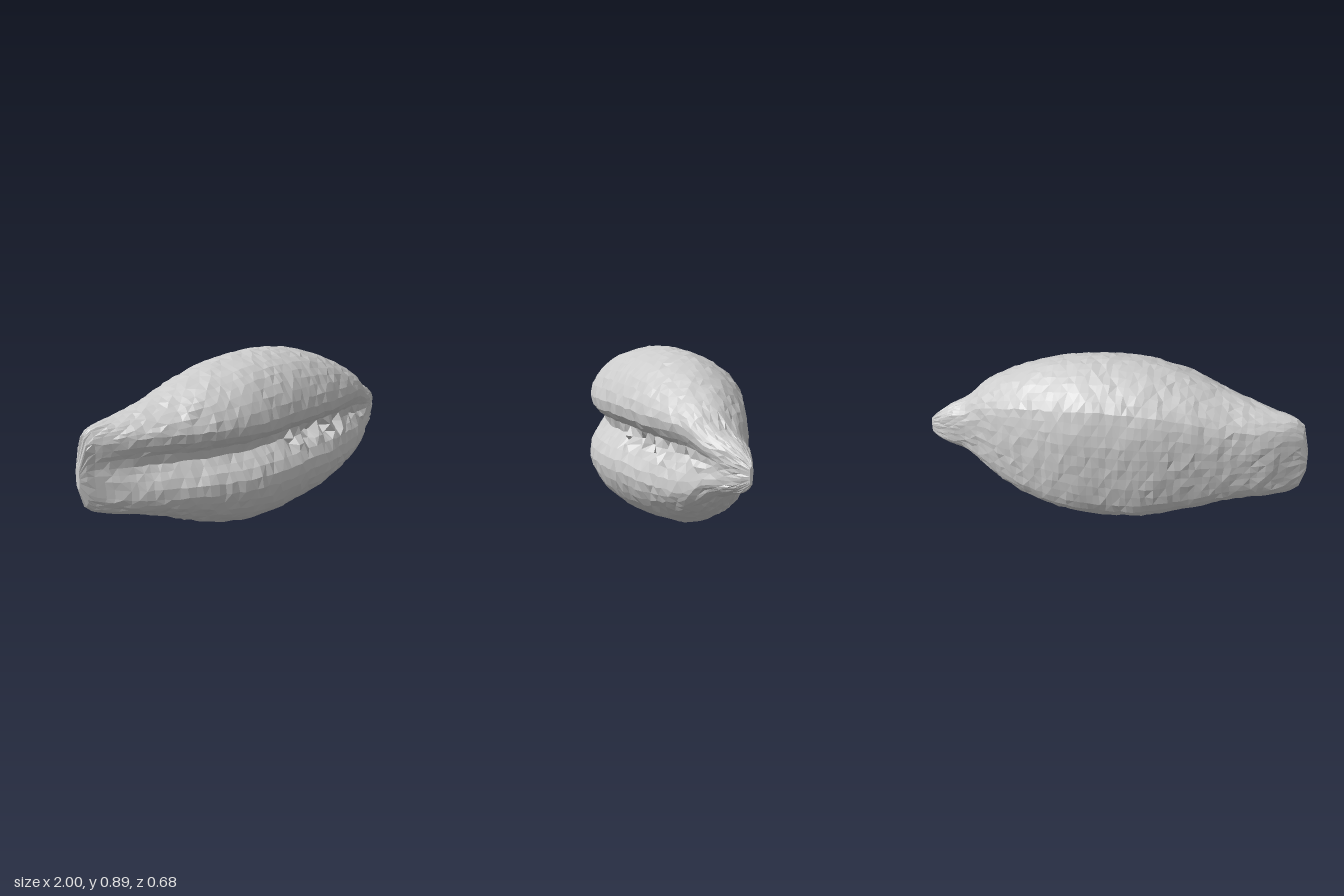
import * as THREE from 'three';

// Stations along the length: x, top y, bottom y, back z, front z, groove strength
const STATIONS = [
  [-1.0, 0.49, 0.37, -0.08, -0.05, 0.1],
  [-0.97, 0.625, 0.28, -0.097, -0.03, 0.4],
  [-0.92, 0.67, 0.235, -0.12, -0.005, 0.7],
  [-0.8, 0.695, 0.2, -0.175, 0.07, 1],
  [-0.6, 0.745, 0.15, -0.23, 0.185, 1],
  [-0.4, 0.82, 0.075, -0.28, 0.28, 1],
  [-0.2, 0.872, 0.02, -0.322, 0.332, 1],
  [0.0, 0.89, 0.003, -0.335, 0.33, 1],
  [0.2, 0.88, 0.02, -0.335, 0.31, 1],
  [0.4, 0.835, 0.055, -0.285, 0.275, 1],
  [0.6, 0.75, 0.135, -0.195, 0.215, 1],
  [0.72, 0.675, 0.21, -0.125, 0.17, 1],
  [0.8, 0.59, 0.285, -0.095, 0.125, 0.6],
  [0.87, 0.56, 0.31, -0.08, 0.085, 0.2],
  [0.94, 0.515, 0.335, -0.055, 0.035, 0],
  [1.0, 0.465, 0.38, -0.025, -0.01, 0],
];

// Cross-section (z, y) in -1..1: over the top, down the grooved front, up the flat back
const SECTION = [
  [0, 1], [0.34, 0.95], [0.62, 0.84], [0.86, 0.64], [0.96, 0.46], [0.99, 0.34], [0.93, 0.26],
  [0.81, 0.18], [0.7, 0.12], [0.66, 0.06], [0.7, 0], [0.8, -0.07], [0.92, -0.17], [0.99, -0.28],
  [1, -0.38], [0.94, -0.54], [0.82, -0.7], [0.6, -0.85], [0.32, -0.95], [0, -1], [-0.32, -0.94],
  [-0.62, -0.83], [-0.86, -0.64], [-0.95, -0.4], [-1, 0.1], [-0.96, 0.42], [-0.86, 0.66],
  [-0.6, 0.84], [-0.32, 0.95],
];

const ROWS = 58, COLS = 50;
const LIP = 0.36; // height of the groove lips in the cross-section

function seeded(seed) {
  return () => {
    seed = (seed * 16807) % 2147483647;
    return seed / 2147483647 - 0.5;
  };
}

// Smooth station values [x, top, bottom, back, front, groove] at a given x
function makeSampler() {
  const curve = (a, b) => new THREE.CatmullRomCurve3(
    STATIONS.map((s) => new THREE.Vector3(s[0], s[a], s[b])), false, 'catmullrom', 0.5);
  const heights = curve(1, 2), depths = curve(3, 4), grooves = curve(5, 5);
  return (x) => {
    let lo = 0, hi = 1;
    for (let n = 0; n < 24; n++) {
      const mid = (lo + hi) / 2;
      if (heights.getPoint(mid).x < x) lo = mid; else hi = mid;
    }
    const h = heights.getPoint(hi), d = depths.getPoint(hi);
    return [h.y, h.z, d.y, d.z, THREE.MathUtils.clamp(grooves.getPoint(hi).y, 0, 1)];
  };
}

// Keeps the lips at nearly constant height while the body tapers
function spreadLips(v, lip) {
  const a = Math.abs(v);
  return Math.sign(v) * (a < LIP ? a * lip / LIP : lip + (a - LIP) * (1 - lip) / (1 - LIP));
}

function shellGeometry() {
  const rand = seeded(71), sample = makeSampler();
  const section = new THREE.CatmullRomCurve3(
    SECTION.map(([z, y]) => new THREE.Vector3(0, y, z)), true).getSpacedPoints(COLS).slice(0, COLS);

  const pos = [], index = [];
  for (let i = 0; i <= ROWS; i++) {
    const x = -1 + 2 * i / ROWS;
    const [top, bottom, back, front, groove] = sample(x);
    const midY = (top + bottom) / 2, halfY = (top - bottom) / 2;
    const midZ = (back + front) / 2, halfZ = (front - back) / 2;
    const lip = THREE.MathUtils.clamp(0.155 / halfY, LIP, 0.58);
    const tip = i === 0 || i === ROWS;
    const rough = tip ? 0 : 0.009 * Math.min(1, halfZ / 0.2);
    for (const p of section) {
      const inGroove = p.z > 0 && Math.abs(p.y) < LIP;
      // the groove fades into a rounded front towards the tips
      let u = inGroove ? THREE.MathUtils.lerp(0.99, p.z, groove) : p.z;
      const v = p.z > 0 ? spreadLips(p.y, lip) : p.y;
      // ragged teeth at the bottom of the groove
      if (inGroove && Math.abs(p.y) < 0.09 && x > 0.08 && x < 0.76) u += rand() * 0.24;
      pos.push(
        x + (tip ? 0 : rand() * 0.014),
        Math.max(0, midY + v * halfY + rand() * rough),
        midZ + u * halfZ + rand() * rough);
    }
  }
  for (let i = 0; i < ROWS; i++) {
    for (let j = 0; j < COLS; j++) {
      const a = i * COLS + j, c = i * COLS + (j + 1) % COLS, b = a + COLS, e = c + COLS;
      if ((i + j) % 2) index.push(a, c, b, c, e, b);
      else index.push(a, c, e, a, e, b);
    }
  }
  // close both tips with fans
  for (const row of [0, ROWS]) {
    const s = STATIONS[row ? STATIONS.length - 1 : 0];
    const centre = pos.length / 3;
    pos.push(s[0], (s[1] + s[2]) / 2, (s[3] + s[4]) / 2);
    for (let j = 0; j < COLS; j++) {
      const a = row * COLS + j, b = row * COLS + (j + 1) % COLS;
      if (row) index.push(centre, a, b);
      else index.push(centre, b, a);
    }
  }
  const geo = new THREE.BufferGeometry();
  geo.setAttribute('position', new THREE.Float32BufferAttribute(pos, 3));
  geo.setIndex(index);
  geo.computeVertexNormals();
  return geo;
}

export function createModel() {
  const group = new THREE.Group();
  group.name = 'groovedShell';
  const shell = new THREE.Mesh(shellGeometry(),
    new THREE.MeshStandardMaterial({ color: 0xcccccc, flatShading: true }));
  shell.name = 'shell';
  group.add(shell);
  return group;
}
